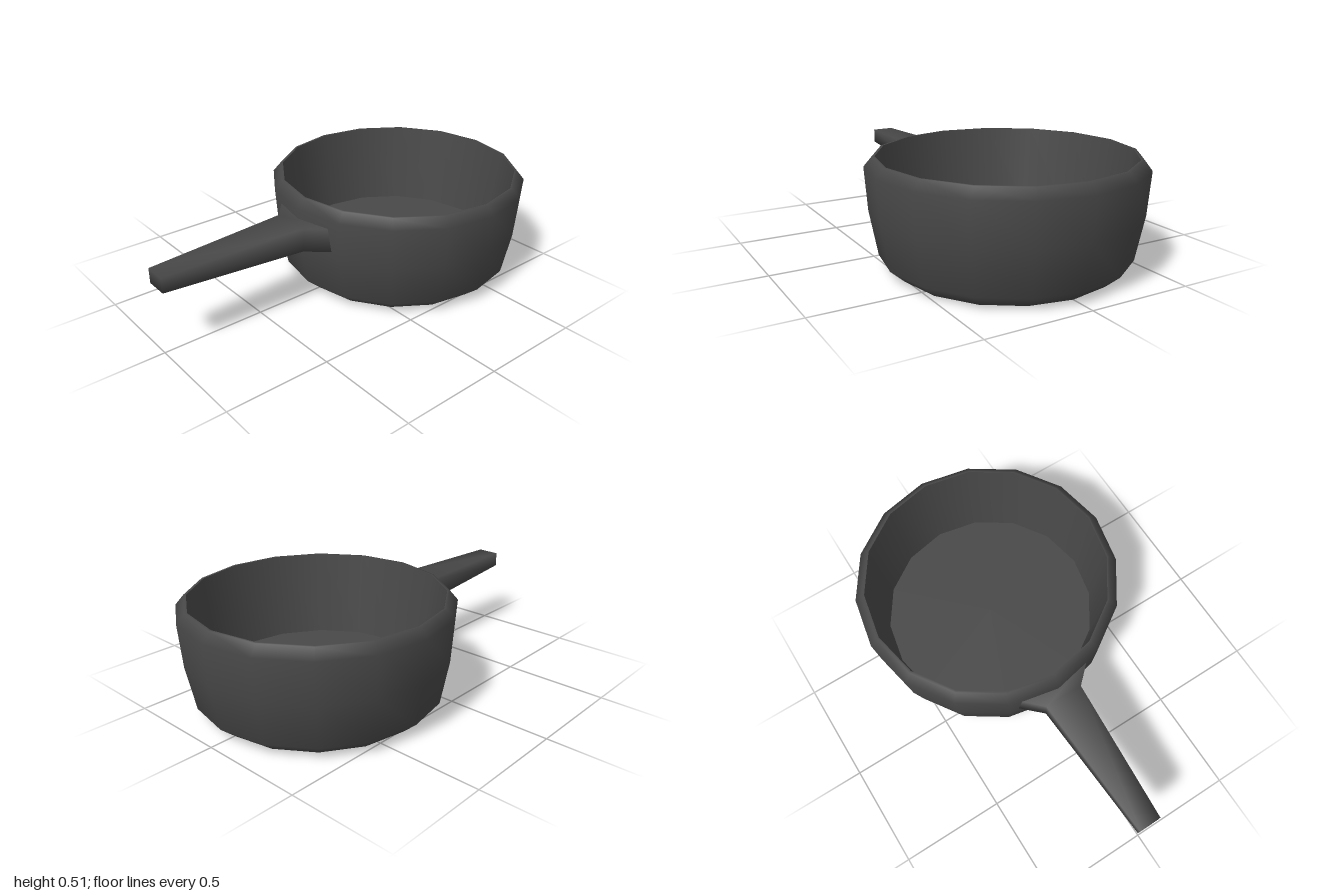
import * as THREE from 'three';

const SIDES = 16;
const POT_Z = -0.365;

export function createModel() {
  const group = new THREE.Group();
  const material = new THREE.MeshStandardMaterial({ color: 0x484848 });

  const add = (name, geometry, z = 0) => {
    const mesh = new THREE.Mesh(geometry, material);
    mesh.name = name;
    mesh.position.z = z;
    group.add(mesh);
  };
  const lathe = (points) =>
    new THREE.LatheGeometry(points.map(([r, y]) => new THREE.Vector2(r, y)), SIDES);

  // Pot: outer shell with chamfered base and rim, then sharp-edged inside
  add('potShell', lathe([[0, 0], [0.51, 0], [0.58, 0.06], [0.62, 0.27],
    [0.635, 0.47], [0.597, 0.515], [0.585, 0.515]]), POT_Z);
  add('potInnerWall', lathe([[0.585, 0.515], [0.53, 0.11]]), POT_Z);
  add('potFloor', lathe([[0.53, 0.11], [0, 0.11]]), POT_Z);

  // Handle: rectangular sections lofted from the flared root to the tip
  const sections = [ // z, half width, bottom, top
    [0.215, 0.195, 0.305, 0.425],
    [0.31, 0.095, 0.3, 0.415],
    [1, 0.055, 0.328, 0.4],
  ];
  const positions = [];
  const indices = [];
  sections.forEach(([z, w, bottom, top], s) => {
    positions.push(-w, bottom, z, w, bottom, z, w, top, z, -w, top, z);
    if (s === 0) return;
    for (let i = 0; i < 4; i++) {
      const a = (s - 1) * 4 + i;
      const b = (s - 1) * 4 + ((i + 1) % 4);
      indices.push(a, b, b + 4, a, b + 4, a + 4);
    }
  });
  const tip = (sections.length - 1) * 4;
  indices.push(tip, tip + 1, tip + 2, tip, tip + 2, tip + 3);
  const handle = new THREE.BufferGeometry();
  handle.setAttribute('position', new THREE.Float32BufferAttribute(positions, 3));
  handle.setIndex(indices);
  handle.computeVertexNormals();
  add('handle', handle);

  return group;
}
